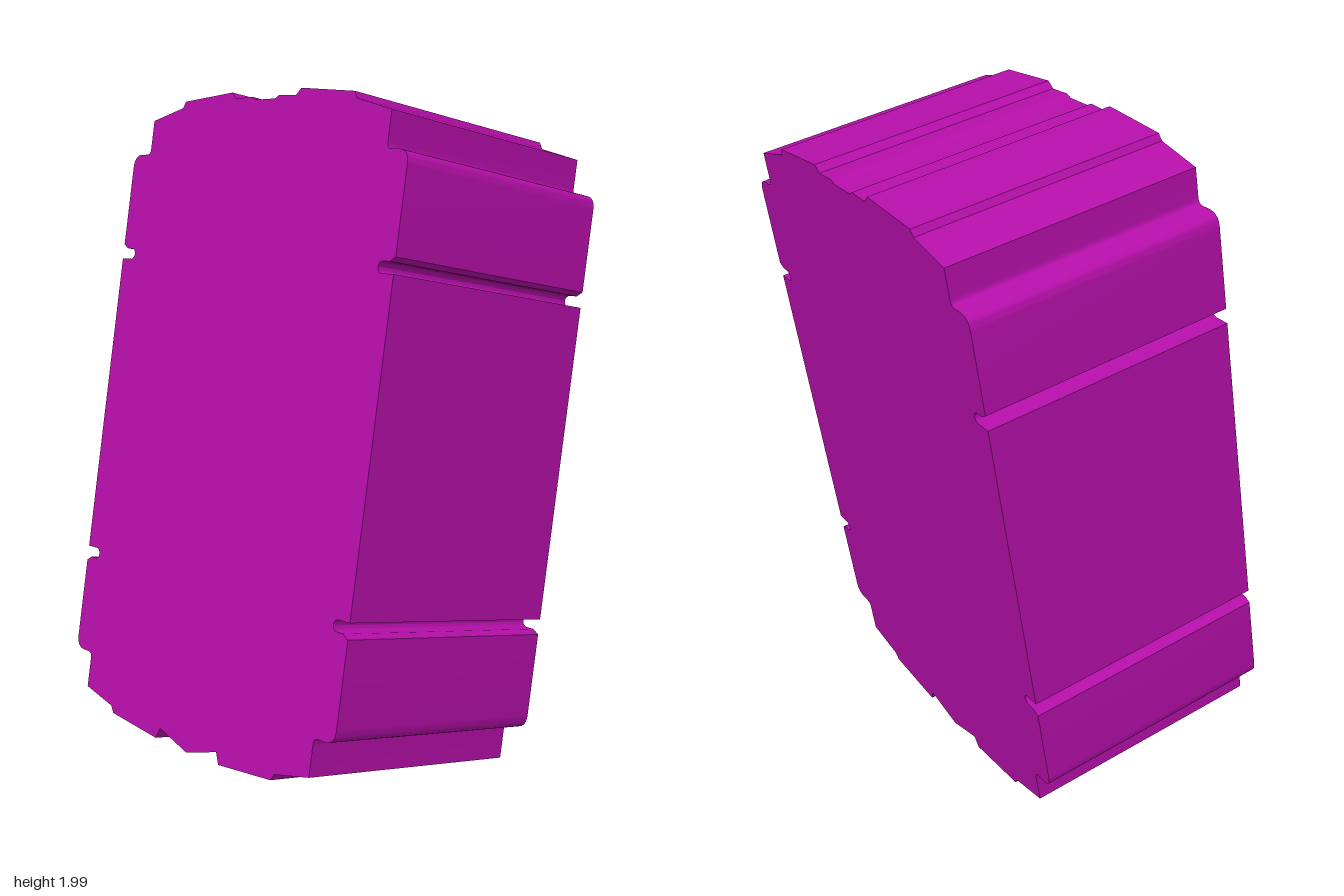
import * as THREE from 'three';
import { toCreasedNormals } from 'three/addons/utils/BufferGeometryUtils.js';

const DEPTH = 0.75;

// Right half of the block's outline, from top centre round to bottom centre.
function halfOutline() {
  const p = new THREE.Path();
  const line = (...pts) => pts.forEach(([x, y]) => p.lineTo(x, y));
  // top edge: shallow dip with raised shoulders
  p.moveTo(0, 0.921);
  line([0.043, 0.921], [0.06, 0.93], [0.133, 0.927], [0.153, 0.946],
    [0.374, 0.928], [0.385, 0.909], [0.525, 0.875]);
  // upper step and rounded shoulder
  line([0.525, 0.79]);
  p.quadraticCurveTo(0.525, 0.772, 0.543, 0.772);
  line([0.567, 0.772]);
  p.quadraticCurveTo(0.607, 0.772, 0.607, 0.732);
  // slots in the side, chamfered at the mouth
  slot(p, 0.467, 1);
  slot(p, -0.467, -1);
  // rounded lower shoulder and step
  line([0.607, -0.732]);
  p.quadraticCurveTo(0.607, -0.772, 0.567, -0.772);
  line([0.543, -0.772]);
  p.quadraticCurveTo(0.525, -0.772, 0.525, -0.79);
  // bottom edge: feet and a shallow central point
  line([0.525, -0.878], [0.388, -0.907], [0.375, -0.926],
    [0.15, -0.945], [0.134, -0.913], [0, -0.949]);
  return p.getPoints(8);
}

// A narrow round-ended slot; side tells which lip is chamfered.
function slot(p, y, side) {
  const r = 0.016, x = 0.607;
  const top = side > 0 ? 0.02 : 0, low = side > 0 ? 0 : 0.02;
  p.lineTo(x, y + r + top * 0.6);
  p.lineTo(x - top, y + r);
  p.lineTo(0.562, y + r);
  p.absarc(0.562, y, r, Math.PI / 2, Math.PI * 1.5, false);
  p.lineTo(x - low, y - r);
  p.lineTo(x, y - r - low * 0.6);
}

export function createModel() {
  const group = new THREE.Group();
  group.name = 'block';

  // mirror the half outline to close the profile
  const right = halfOutline();
  const left = right.slice(1, -1).reverse().map(v => new THREE.Vector2(-v.x, v.y));
  const shape = new THREE.Shape([...right, ...left]);

  const extruded = new THREE.ExtrudeGeometry(shape, { depth: DEPTH, bevelEnabled: false });
  extruded.translate(0, 0, -DEPTH / 2);
  const body = new THREE.Mesh(
    toCreasedNormals(extruded, 0.4),
    new THREE.MeshStandardMaterial({ color: 0xb40fa8 })
  );
  body.name = 'notchedBody';

  // the block leans back and is turned slightly
  body.rotation.set(-0.164, -0.1275, 0, 'YXZ');
  body.position.set(0, 1.005, 0);
  group.add(body);
  return group;
}
